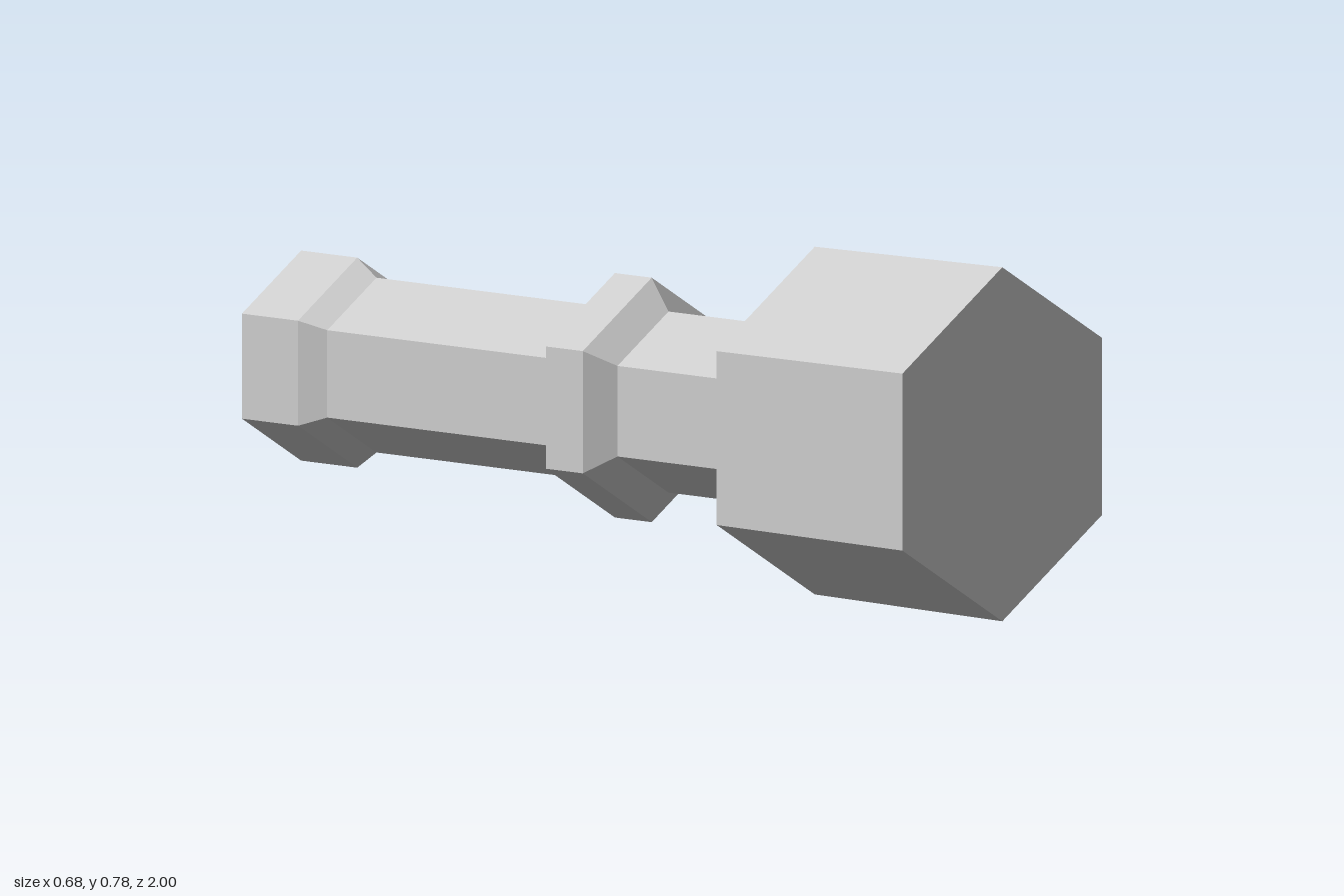
import * as THREE from 'three';

// Six-sided mallet-like part lying along z, built from hexagonal lathe sections.
export function createModel() {
  const group = new THREE.Group();
  const grey = new THREE.MeshStandardMaterial({ color: 0xcccccc, flatShading: true });
  grey.name = 'grey';

  const axisHeight = 0.393;

  // Each profile is a list of [corner radius, z], running from back to front.
  const addSection = (name, profile) => {
    const points = profile.map(([r, z]) => new THREE.Vector2(r, z));
    const geometry = new THREE.LatheGeometry(points, 6).toNonIndexed();
    geometry.rotateX(Math.PI / 2);
    geometry.computeVertexNormals();
    const mesh = new THREE.Mesh(geometry, grey);
    mesh.name = name;
    mesh.position.y = axisHeight;
    group.add(mesh);
  };

  // Flared end with a hexagonal socket
  addSection('endCap', [
    [0, -0.87], [0.105, -0.87], [0.105, -1], [0.232, -1], [0.232, -0.84], [0.193, -0.785],
  ]);
  addSection('handle', [[0.193, -0.785], [0.193, -0.15]]);
  addSection('collar', [[0.193, -0.15], [0.27, -0.105], [0.27, 0], [0.2, 0.048]]);
  addSection('neck', [[0.2, 0.048], [0.2, 0.378]]);
  // Heavy head with a sloped back and a flat closed front
  addSection('head', [[0.2, 0.378], [0.384, 0.465], [0.391, 1], [0, 1]]);

  return group;
}
